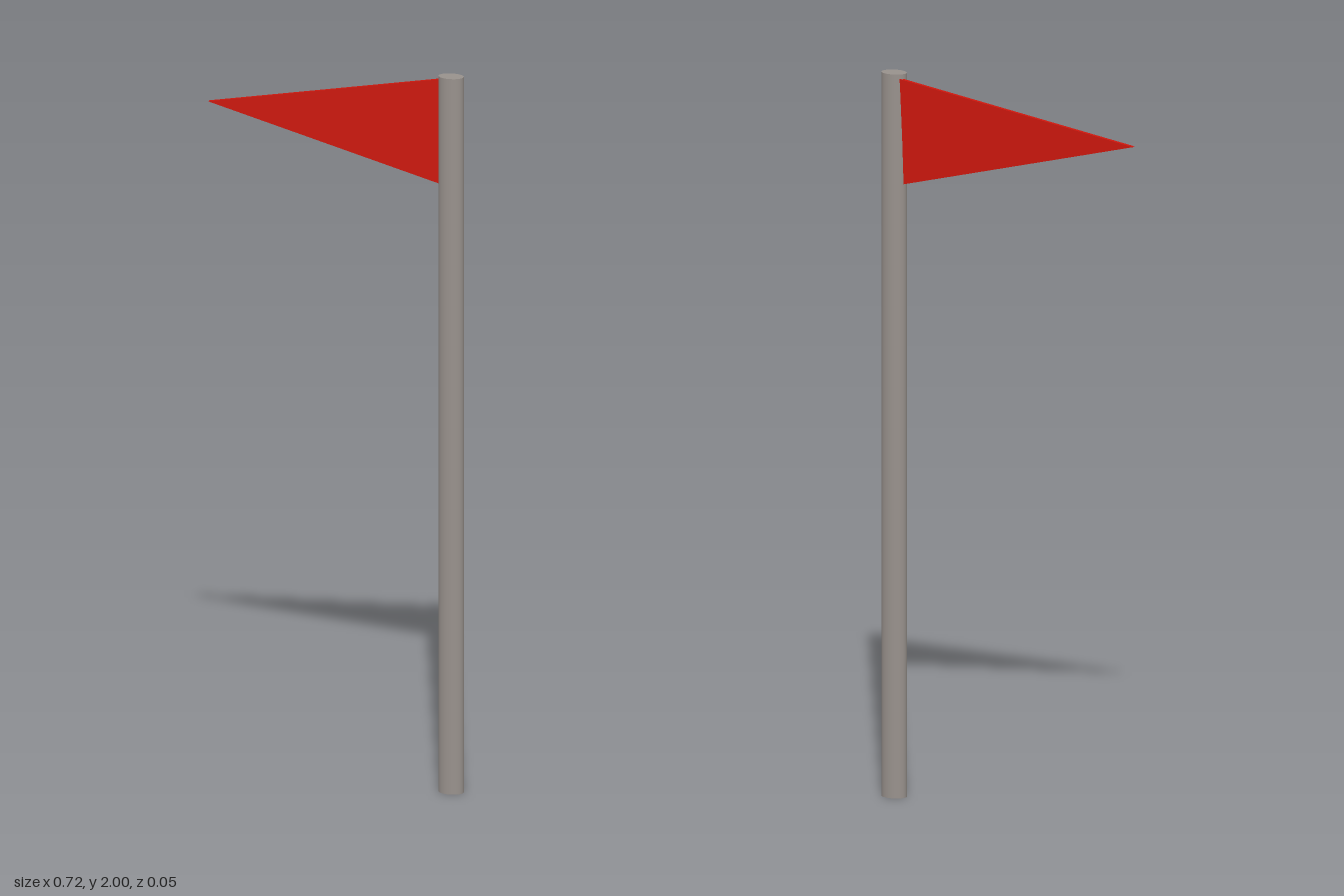
import * as THREE from 'three';

export function createModel() {
  const group = new THREE.Group();
  group.name = 'pennantOnPole';

  // Pole: a slightly oval cylinder
  const pole = new THREE.Mesh(
    new THREE.CylinderGeometry(1, 1, 2, 32),
    new THREE.MeshStandardMaterial({ color: 0x98918c })
  );
  pole.name = 'pole';
  pole.scale.set(0.035, 1, 0.026);
  pole.position.set(0.326, 1, 0);
  group.add(pole);

  // Pennant: a thin triangular slab
  const outline = new THREE.Shape([
    new THREE.Vector2(0.305, 1.988),
    new THREE.Vector2(-0.362, 1.86),
    new THREE.Vector2(0.305, 1.693),
  ]);
  const cloth = new THREE.ExtrudeGeometry(outline, { depth: 0.011, bevelEnabled: false });

  // Swing the tip forward and lean the top edge back
  const p = cloth.attributes.position;
  for (let i = 0; i < p.count; i++) {
    const lean = -0.0327 * (p.getX(i) - 0.3) - 0.0276 * (p.getY(i) - 1.86);
    p.setZ(i, p.getZ(i) - 0.0156 + lean);
  }
  cloth.computeVertexNormals();

  const pennant = new THREE.Mesh(
    cloth,
    new THREE.MeshStandardMaterial({ color: 0xcc170d, flatShading: true })
  );
  pennant.name = 'pennant';
  group.add(pennant);

  return group;
}
